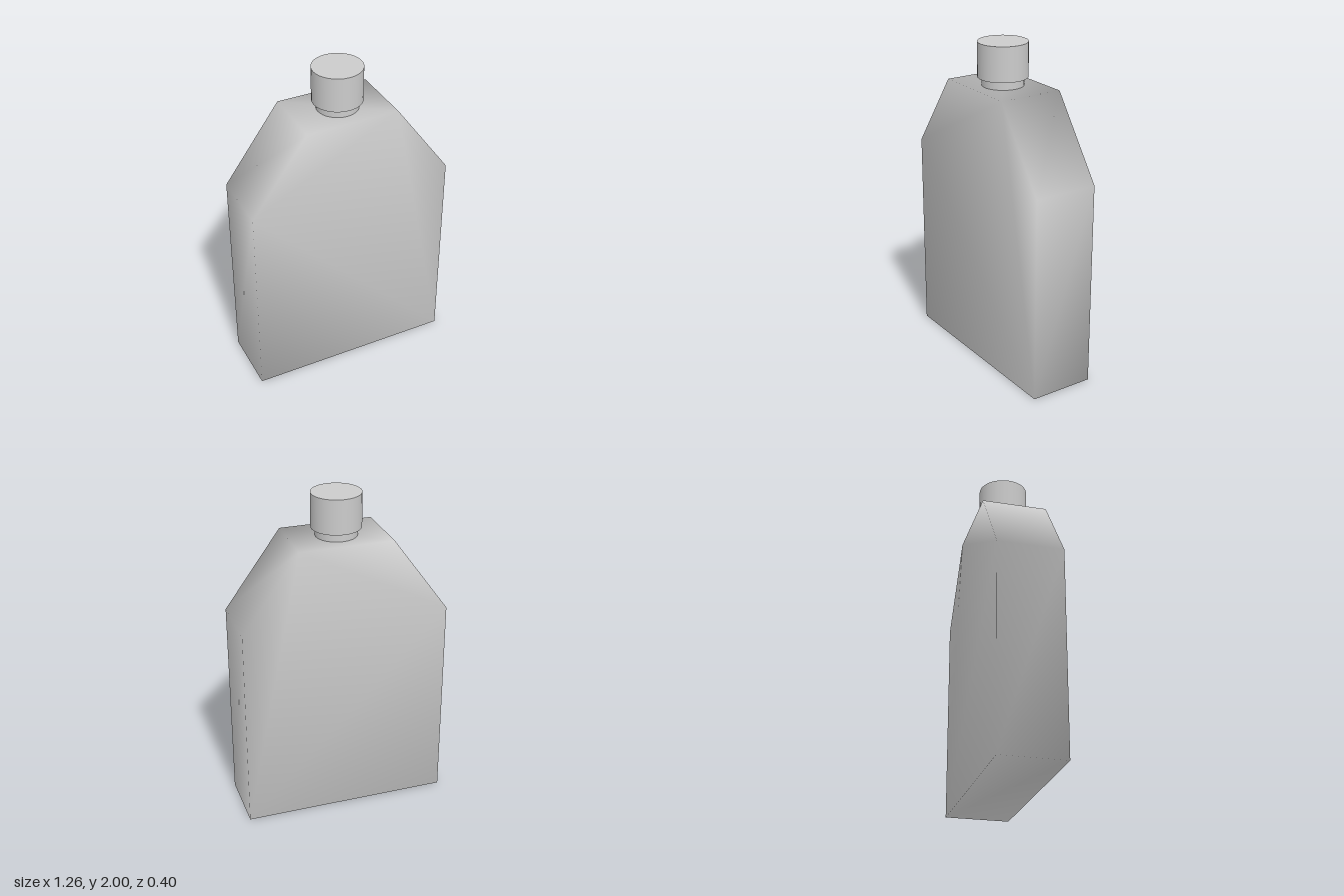
import * as THREE from 'three';
import { mergeVertices } from 'three/addons/utils/BufferGeometryUtils.js';

const material = new THREE.MeshStandardMaterial({ color: 0xcccccc });

const DEPTH = 0.4;
const BODY_TOP = 1.74;

// Flat flask outline with sloping shoulders, corners shared for soft shading
function bodyGeometry() {
  const half = [[0.63, 0], [0.63, 1.265], [0.285, BODY_TOP]];
  const mirrored = half.map(([x, y]) => [-x, y]).reverse();
  const outline = [...half, ...mirrored].map(([x, y]) => new THREE.Vector2(x, y));
  const extruded = new THREE.ExtrudeGeometry(new THREE.Shape(outline), {
    depth: DEPTH, bevelEnabled: false,
  }).translate(0, 0, -DEPTH / 2);
  extruded.deleteAttribute('normal');
  extruded.deleteAttribute('uv');
  const geometry = mergeVertices(extruded);
  geometry.computeVertexNormals();
  return geometry;
}

// Upright cylinder between two heights
function cylinder(radius, bottom, top) {
  return new THREE.CylinderGeometry(radius, radius, top - bottom, 32)
    .translate(0, (bottom + top) / 2, 0);
}

export function createModel() {
  const group = new THREE.Group();
  group.name = 'bottle';

  const add = (name, geometry) => {
    const mesh = new THREE.Mesh(geometry, material);
    mesh.name = name;
    group.add(mesh);
  };

  add('body', bodyGeometry());
  add('neck', cylinder(0.125, BODY_TOP, 1.79));
  add('cap', cylinder(0.15, 1.79, 2));

  return group;
}
